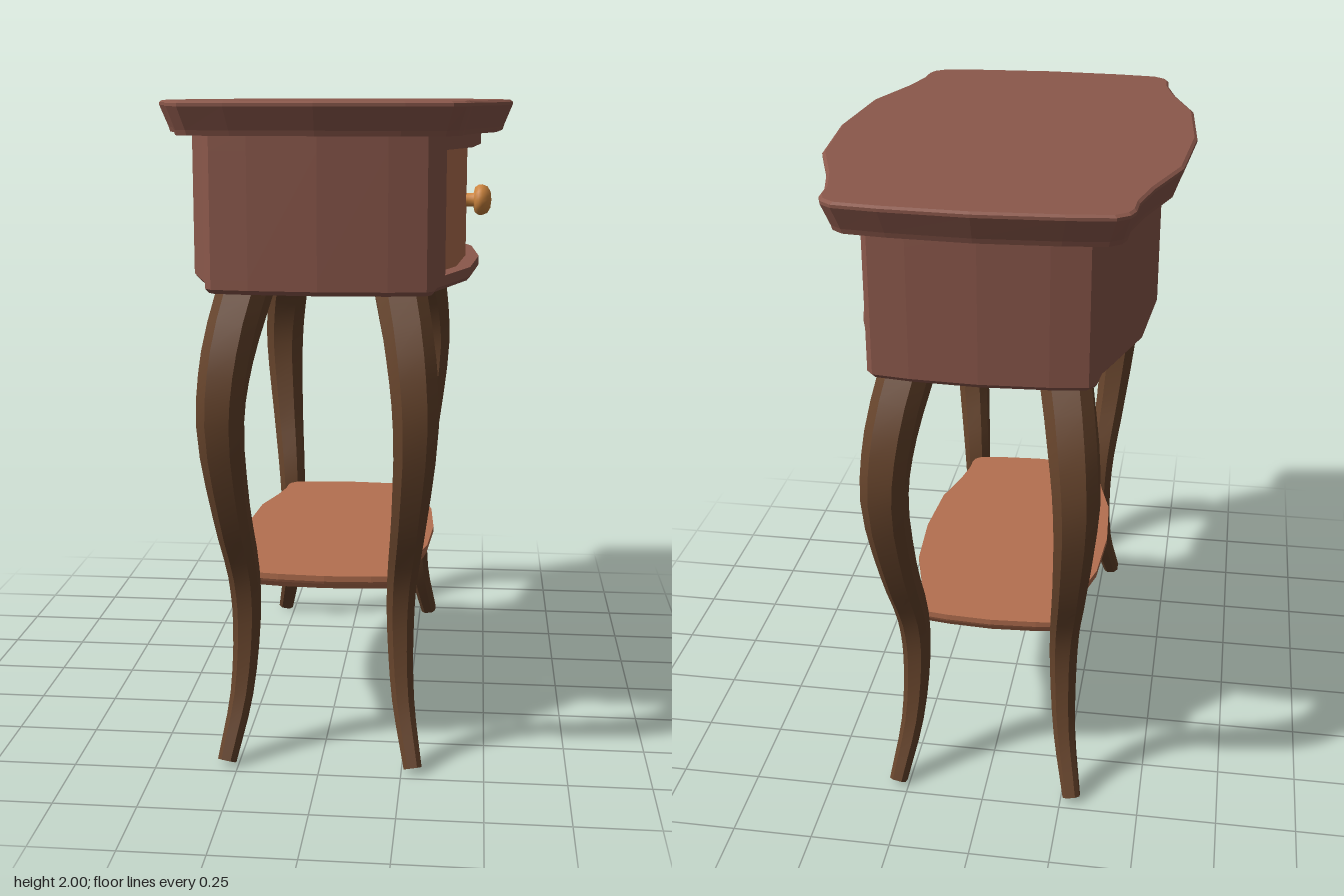
import * as THREE from 'three';
import { toCreasedNormals } from 'three/addons/utils/BufferGeometryUtils.js';

const mat = (name, color) => Object.assign(new THREE.MeshStandardMaterial({ color }), { name });

// Closed solid from cross-section rings, listed bottom to top
function loft(rings) {
  const pos = [];
  const tri = (...v) => v.forEach(p => pos.push(p.x, p.y, p.z));
  const n = rings[0].length;
  const mid = ring => ring.reduce((s, p) => s.add(p), new THREE.Vector3()).divideScalar(n);
  const last = rings[rings.length - 1];
  const low = mid(rings[0]), high = mid(last);
  for (let i = 0; i < n; i++) {
    const j = (i + 1) % n;
    for (let k = 0; k < rings.length - 1; k++) {
      const a = rings[k], b = rings[k + 1];
      tri(a[i], a[j], b[j]);
      tri(a[i], b[j], b[i]);
    }
    tri(low, rings[0][j], rings[0][i]);
    tri(high, last[i], last[j]);
  }
  const geo = new THREE.BufferGeometry();
  geo.setAttribute('position', new THREE.Float32BufferAttribute(pos, 3));
  geo.computeVertexNormals();
  return geo;
}

// Mirror a quarter outline [x, z], running from the end to the side, into a full loop
function mirror(q) {
  const back = q.slice(0, -1).reverse();
  return [
    ...q,
    ...back.map(([x, z]) => [x, -z]),
    ...q.slice(1).map(([x, z]) => [-x, -z]),
    ...back.slice(0, -1).map(([x, z]) => [-x, z]),
  ];
}

// Board with a given outline; levels are [y, inset]
const board = (outline, levels) => loft(levels.map(([y, d]) =>
  outline.map(([x, z]) => new THREE.Vector3(x * (1 - d / 0.5), y, z * (1 - d / 0.75)))));

const TOP = [[0, 0.82], [0.25, 0.808], [0.38, 0.793], [0.415, 0.765], [0.427, 0.73],
  [0.43, 0.66], [0.46, 0.53], [0.53, 0.32], [0.555, 0]];
const BODY = [[0, 0.73], [0.2, 0.72], [0.31, 0.705], [0.33, 0.68], [0.337, 0.6],
  [0.358, 0.54], [0.43, 0.32], [0.455, 0]];

// Cabriole leg: foot to top as [x, y, z, thickness]
const LEG = [[0.285, 0.013, 0.705, 0.054], [0.25, 0.2, 0.622, 0.066], [0.238, 0.42, 0.58, 0.08],
  [0.243, 0.58, 0.592, 0.09], [0.266, 0.8, 0.67, 0.105], [0.285, 1.08, 0.724, 0.13],
  [0.268, 1.27, 0.685, 0.142], [0.225, 1.47, 0.565, 0.15], [0.21, 1.54, 0.515, 0.15]];

function legGeometry(sx, sz) {
  const curve = new THREE.CatmullRomCurve3(
    LEG.map(([x, y, z]) => new THREE.Vector3(x * sx, y, z * sz)));
  const section = mirror([[0.27, 0.5], [0.5, 0.27]]);
  const full = [...section.slice(0, 2), [0.5, -0.27], [0.27, -0.5],
    [-0.27, -0.5], [-0.5, -0.27], [-0.5, 0.27], [-0.27, 0.5]];
  const rings = [];
  const steps = 24, spans = LEG.length - 1;
  for (let i = 0; i <= steps; i++) {
    const f = i / steps;
    const k = Math.min(Math.floor(f * spans), spans - 1);
    const w = THREE.MathUtils.lerp(LEG[k][3], LEG[k + 1][3], f * spans - k);
    const c = curve.getPoint(f), t = curve.getTangent(f);
    const u = new THREE.Vector3(1, 0, 0).addScaledVector(t, -t.x).normalize();
    const v = u.clone().cross(t);
    rings.push(full.map(([a, b]) => c.clone().addScaledVector(u, a * w).addScaledVector(v, b * w)));
  }
  return toCreasedNormals(loft(rings), 0.6);
}

export function createModel() {
  const model = new THREE.Group();
  model.name = 'sideTable';
  const caseWood = mat('reddish wood', 0x8b584b);
  const lightWood = mat('light wood', 0xb47050);
  const legWood = mat('dark wood', 0x65432b);
  const brass = mat('knob gold', 0xcd853f);
  const add = (name, geo, material) => {
    const mesh = new THREE.Mesh(geo, material);
    mesh.name = name;
    model.add(mesh);
    return mesh;
  };

  // Table top with a tapered rim
  add('tableTop', board(mirror(TOP),
    [[1.905, 0.028], [1.92, 0.024], [1.985, 0], [1.994, 0], [2, 0.008]]), caseWood);

  // Case: bottom board, top rail, and a core recessed behind the drawer
  const body = mirror(BODY);
  add('caseBottom', board(body, [[1.455, 0.012], [1.468, 0], [1.497, 0]]), caseWood);
  add('caseRail', board(body, [[1.86, 0], [1.91, 0]]), caseWood);
  const core = body.flatMap(([x, z]) => {
    if (x < 0.35 || Math.abs(z) > 0.54) return [[x, z]];
    const inner = [x - 0.06, z];
    if (z === 0.54) return [[x, z], inner];
    if (z === -0.54) return [inner, [x, z]];
    return [inner];
  });
  add('caseCore', board(core, [[1.497, 0], [1.86, 0]]), caseWood);

  // Bowed drawer front and its knob
  const bow = body.filter(([x, z]) => x > 0.35 && Math.abs(z) <= 0.54);
  const face = [...bow.map(([x, z]) => [x - 0.043, z * 0.997]),
    ...bow.slice().reverse().map(([x, z]) => [x - 0.065, z * 0.997])];
  add('drawerFront', board(face, [[1.499, 0], [1.858, 0]]), lightWood);
  const profile = [[0.022, 0], [0.022, 0.03], [0.04, 0.034], [0.049, 0.046], [0.05, 0.058],
    [0.043, 0.075], [0.026, 0.085], [0, 0.088]].map(p => new THREE.Vector2(...p));
  const knob = add('drawerKnob', new THREE.LatheGeometry(profile, 20), brass);
  knob.rotation.z = -Math.PI / 2;
  knob.position.set(0.405, 1.68, 0);

  // Lower shelf
  add('shelf', board(mirror(TOP.map(([x, z]) => [x * 0.575, z * 0.68])),
    [[0.522, 0.02], [0.54, 0.004], [0.548, 0], [0.566, 0]]), lightWood);

  // Four curved legs
  for (const [sx, side] of [[1, 'Left'], [-1, 'Right']])
    for (const [sz, end] of [[1, 'front'], [-1, 'back']])
      add(`${end}${side}Leg`, legGeometry(sx, sz), legWood);

  return model;
}
